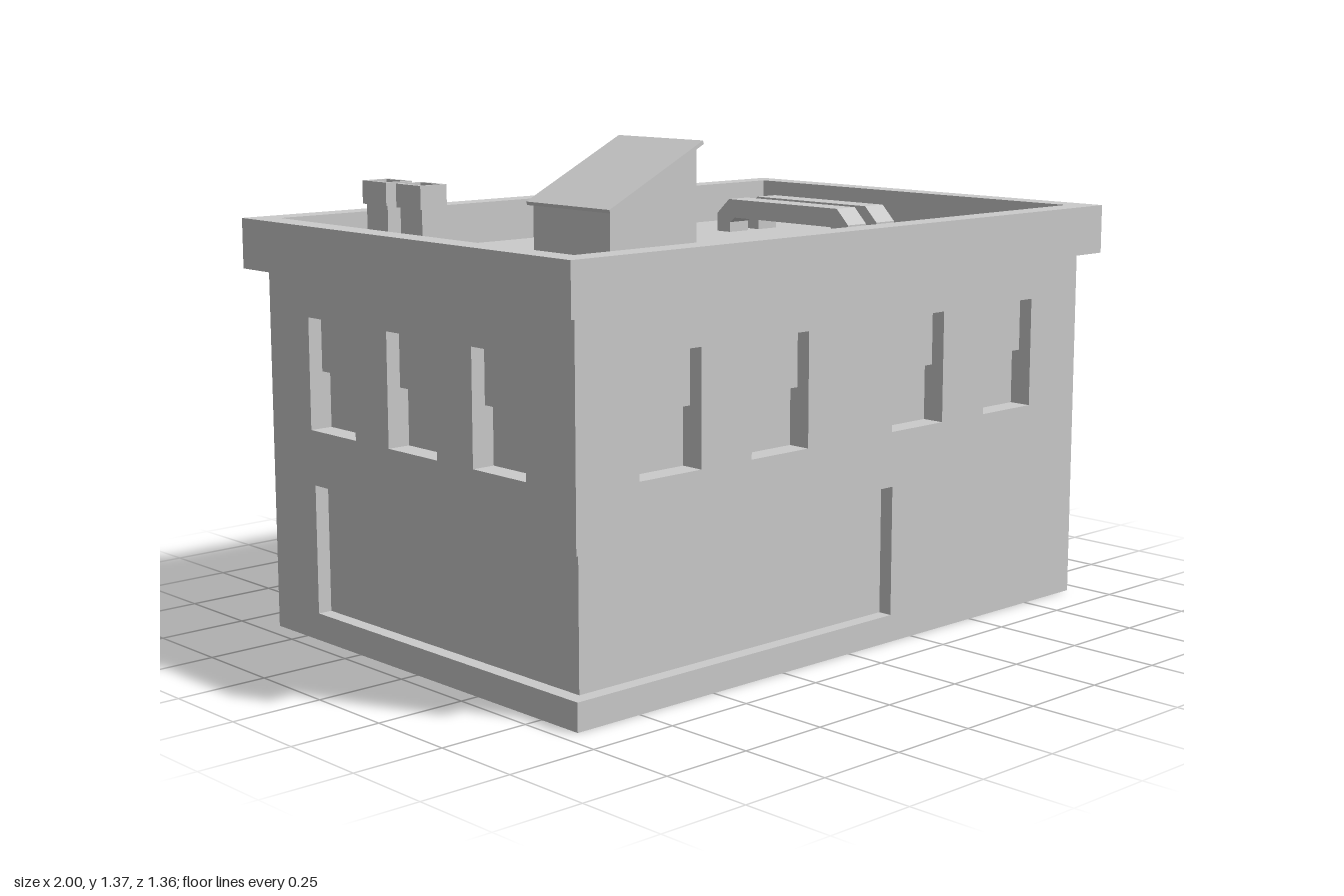
import * as THREE from 'three';

const mat = new THREE.MeshStandardMaterial({ color: 0xcccccc, flatShading: true, side: THREE.DoubleSide });
const W = 0.95, D = 0.635, ROOF = 1.02;

function add(parent, name, geo, x = 0, y = 0, z = 0) {
  const m = new THREE.Mesh(geo, mat);
  m.name = name;
  m.position.set(x, y, z);
  parent.add(m);
  return m;
}
const poly = (pts) => new THREE.Shape(pts.map(([x, y]) => new THREE.Vector2(x, y)));
const rect = (x0, y0, x1, y1) => [[x0, y0], [x1, y0], [x1, y1], [x0, y1]];
const extrude = (shape, depth) => new THREE.ExtrudeGeometry(shape, { depth, bevelEnabled: false });

// Flat upright panel facing +z
function panel(parent, name, x0, y0, x1, y1, z) {
  return add(parent, name, new THREE.PlaneGeometry(x1 - x0, y1 - y0), (x0 + x1) / 2, (y0 + y1) / 2, z);
}
// Inner sides of an opening running from depth za (outside) back to zb
function reveal(parent, name, x0, y0, x1, y1, za, zb, bottom = true) {
  const d = za - zb, zc = (za + zb) / 2;
  for (const [x, s] of [[x0, 1], [x1, -1]]) {
    add(parent, name, new THREE.PlaneGeometry(d, y1 - y0), x, (y0 + y1) / 2, zc).rotation.y = s * Math.PI / 2;
  }
  for (const [y, s] of bottom ? [[y0, -1], [y1, 1]] : [[y1, 1]]) {
    add(parent, name, new THREE.PlaneGeometry(x1 - x0, d), (x0 + x1) / 2, y, zc).rotation.x = s * Math.PI / 2;
  }
}

// Recessed sash window: the lower sash sits deeper than the upper one
const WIN = { w: 0.205, y0: 0.58, y1: 0.885, mid: 0.735 };
function addWindow(wall, cx) {
  const g = new THREE.Group();
  g.name = 'window';
  g.position.x = cx;
  const h = WIN.w / 2;
  reveal(g, 'windowReveal', -h, WIN.y0, h, WIN.y1, 0, -0.065);
  panel(g, 'upperSash', -h, WIN.mid, h, WIN.y1, -0.04);
  panel(g, 'lowerSash', -h, WIN.y0, h, WIN.mid, -0.065);
  add(g, 'sashRail', new THREE.PlaneGeometry(WIN.w, 0.025), 0, WIN.mid, -0.0525).rotation.x = Math.PI / 2;
  wall.add(g);
}

// Wall in its own frame: x along the wall, facing +z
function addWall(parent, name, outline, centres, angle, dist) {
  const g = new THREE.Group();
  g.name = name;
  const shape = poly(outline);
  for (const c of centres) {
    shape.holes.push(poly(rect(c - WIN.w / 2, WIN.y0, c + WIN.w / 2, WIN.y1)));
    addWindow(g, c);
  }
  add(g, name + 'Face', new THREE.ShapeGeometry(shape));
  g.rotation.y = angle;
  g.position.set(Math.sin(angle) * dist, 0, Math.cos(angle) * dist);
  parent.add(g);
  return g;
}

export function createModel() {
  const model = new THREE.Group();
  model.name = 'building';

  // Walls; the shop window cuts the front left corner
  const S = { y0: 0.075, y1: 0.43, xEnd: 0.165, zEnd: -0.44, inset: 0.04 };
  const longRow = [-0.647, -0.267, 0.263, 0.643];
  addWall(model, 'frontWall', [[-W, 0], [W, 0], [W, 1], [-W, 1], [-W, S.y1],
    [S.xEnd, S.y1], [S.xEnd, S.y0], [-W, S.y0]], longRow, 0, D);
  addWall(model, 'backWall', rect(-W, 0, W, 1), longRow.map((x) => -x), Math.PI, D);
  addWall(model, 'shopSideWall', [[-D, 0], [D, 0], [D, S.y0], [S.zEnd, S.y0],
    [S.zEnd, S.y1], [D, S.y1], [D, 1], [-D, 1]], [-0.35, 0, 0.35], -Math.PI / 2, W);
  const doorWall = addWall(model, 'doorWall', [[-D, 0], [-0.455, 0], [-0.455, 0.34],
    [-0.3, 0.34], [-0.3, 0], [D, 0], [D, 1], [-D, 1]], [], Math.PI / 2, W);

  // Side door: stepped frame and leaf
  reveal(doorWall, 'doorReveal', -0.455, 0, -0.3, 0.34, 0, -0.03, false);
  add(doorWall, 'doorFrame', new THREE.ShapeGeometry(poly([[-0.455, 0], [-0.437, 0], [-0.437, 0.322],
    [-0.318, 0.322], [-0.318, 0], [-0.3, 0], [-0.3, 0.34], [-0.455, 0.34]])), 0, 0, -0.03);
  reveal(doorWall, 'doorInnerReveal', -0.437, 0, -0.318, 0.322, -0.03, -0.06, false);
  panel(doorWall, 'doorLeaf', -0.437, 0, -0.318, 0.322, -0.06);

  // Corner shop window: panes, end reveals, sill and soffit
  const gx = -W + S.inset, gz = D - S.inset, h = S.y1 - S.y0, ym = (S.y0 + S.y1) / 2;
  panel(model, 'shopFrontPane', gx, S.y0, S.xEnd, S.y1, gz);
  add(model, 'shopSidePane', new THREE.PlaneGeometry(gz - S.zEnd, h), gx, ym, (gz + S.zEnd) / 2).rotation.y = -Math.PI / 2;
  add(model, 'shopFrontReveal', new THREE.PlaneGeometry(S.inset, h), S.xEnd, ym, D - S.inset / 2).rotation.y = -Math.PI / 2;
  add(model, 'shopSideReveal', new THREE.PlaneGeometry(S.inset, h), -W + S.inset / 2, ym, S.zEnd);
  const ledge = poly([[-W, -D], [S.xEnd, -D], [S.xEnd, -gz], [gx, -gz], [gx, -S.zEnd], [-W, -S.zEnd]]);
  for (const [name, y] of [['shopSill', S.y0], ['shopSoffit', S.y1]]) {
    add(model, name, new THREE.ShapeGeometry(ledge), 0, y, 0).rotation.x = -Math.PI / 2;
  }

  // Parapet ring and flat roof
  const ring = poly(rect(-1, -0.682, 1, 0.682));
  ring.holes.push(poly(rect(-0.927, -0.608, 0.927, 0.608)));
  add(model, 'parapet', extrude(ring, 0.137), 0, 1, 0).rotation.x = -Math.PI / 2;
  add(model, 'roof', new THREE.PlaneGeometry(1.854, 1.216), 0, ROOF, 0).rotation.x = -Math.PI / 2;

  // Roof access hut with a recessed door and a sloping lid
  const hut = new THREE.Group();
  hut.name = 'roofHut';
  const a = -0.685, b = -0.395, ya = 1.212, yb = 1.355;
  add(hut, 'hutBody', extrude(poly([[a, ROOF], [b, ROOF], [b, yb], [a, ya]]), 0.26), 0, 0, 0.2);
  add(hut, 'hutDoorWall', extrude(poly([[a, ROOF], [-0.525, ROOF], [-0.525, 1.22], [-0.445, 1.22],
    [-0.445, ROOF], [b, ROOF], [b, yb], [a, ya]]), 0.03), 0, 0, 0.17);
  add(hut, 'hutLid', extrude(poly([[-0.693, 1.208], [-0.38, 1.362], [-0.383, 1.371], [-0.696, 1.217]]), 0.316), 0, 0, 0.155);
  model.add(hut);

  // Two chimneys with hollow caps
  for (const z of [-0.185, -0.04]) {
    const g = new THREE.Group();
    g.name = 'chimney';
    g.position.set(-0.877, 0, z);
    add(g, 'chimneyShaft', new THREE.BoxGeometry(0.065, 1.2 - ROOF, 0.09), 0, (1.2 + ROOF) / 2, 0);
    const cap = poly(rect(-0.041, -0.051, 0.041, 0.051));
    cap.holes.push(poly(rect(-0.029, -0.042, 0.029, 0.042)));
    add(g, 'chimneyCap', extrude(cap, 0.06), 0, 1.2, 0).rotation.x = -Math.PI / 2;
    model.add(g);
  }

  // Two bridge-shaped roof ducts, profile drawn along z
  const duct = poly([[-0.38, ROOF], [-0.38, 1.075], [-0.33, 1.12], [0.115, 1.12], [0.16, 1.075], [0.16, ROOF],
    [0.105, ROOF], [0.105, 1.05], [0.09, 1.065], [-0.305, 1.065], [-0.325, 1.05], [-0.325, ROOF]]);
  for (const x of [0.573, 0.695]) {
    add(model, 'roofDuct', extrude(duct, 0.077), x, 0, 0).rotation.y = -Math.PI / 2;
  }
  return model;
}
